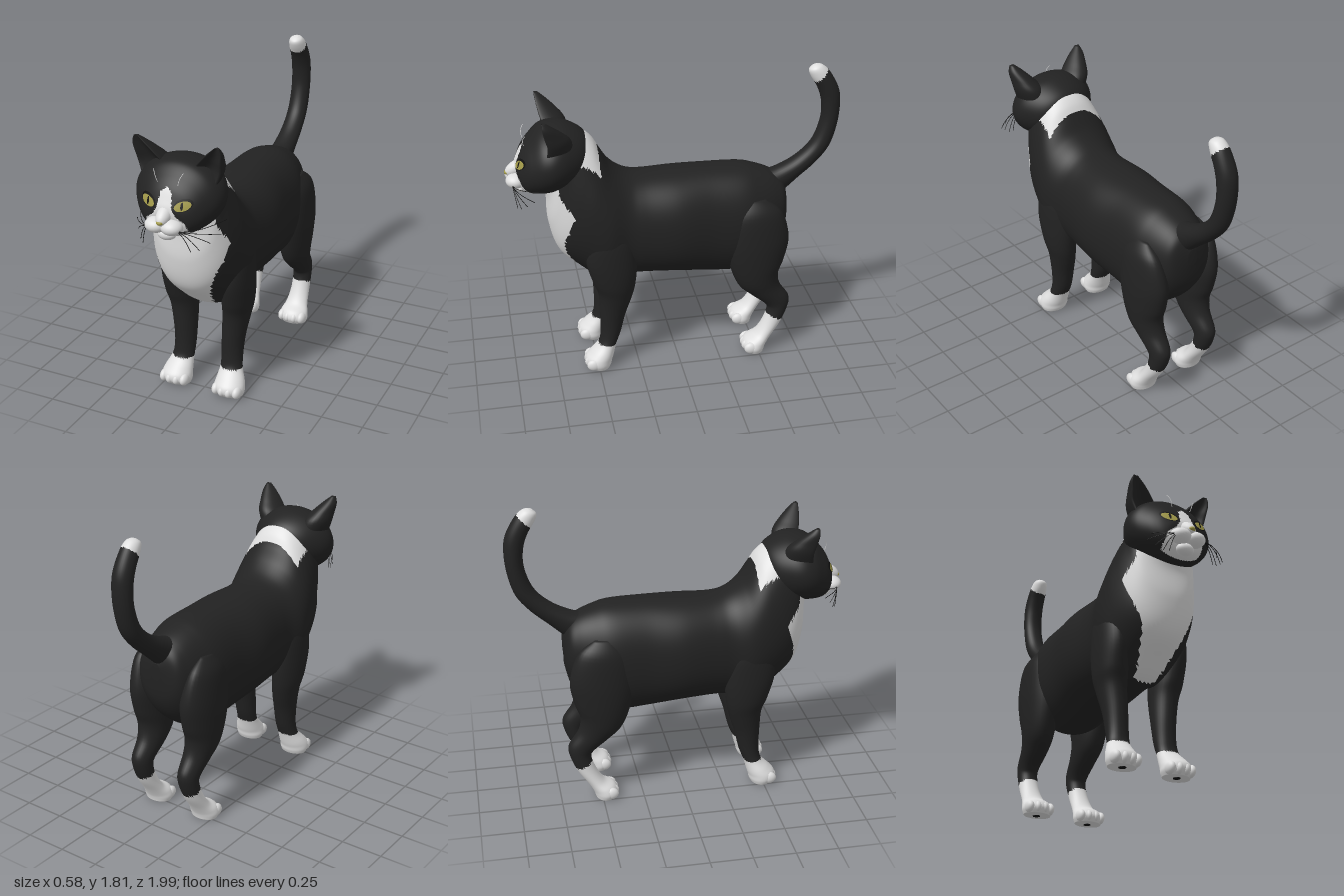
import * as THREE from 'three';

const mat = (name, color, extra = {}) => new THREE.MeshStandardMaterial({ name, color, ...extra });

// Piecewise-linear lookup in [[key, value], ...] with rising keys
function lookup(table, k) {
  if (k <= table[0][0]) return table[0][1];
  for (let i = 1; i < table.length; i++) {
    const [k0, v0] = table[i - 1], [k1, v1] = table[i];
    if (k <= k1) return v0 + (v1 - v0) * (k - k0) / (k1 - k0);
  }
  return table[table.length - 1][1];
}

const spline = (a, b, c, d, t) =>
  0.5 * (2 * b + (c - a) * t + (2 * a - 5 * b + 4 * c - d) * t * t + (3 * b - a - 3 * c + d) * t * t * t);

// Smooth closed skin over oval rings [zTop, yTop, zBottom, yBottom, halfWidth, xCentre].
// isWhite(x, y, z) sends a triangle to the second material; dent hollows the bottom side.
function loft(rings, { steps = 6, sides = 32, power = 1, side = 1, dent = 0, isWhite = () => false } = {}) {
  const pos = [], groups = [[], []], dense = [];
  const at = i => rings[Math.min(rings.length - 1, Math.max(0, i))];
  for (let i = 0; i < rings.length - 1; i++)
    for (let k = 0; k < steps + (i === rings.length - 2 ? 1 : 0); k++)
      dense.push([0, 1, 2, 3, 4, 5].map(n =>
        spline(at(i - 1)[n] ?? 0, at(i)[n] ?? 0, at(i + 1)[n] ?? 0, at(i + 2)[n] ?? 0, k / steps)));
  const curve = v => Math.sign(v) * Math.abs(v) ** power;
  for (const [zt, yt, zb, yb, w, x] of dense)
    for (let j = 0; j < sides; j++) {
      const a = j / sides * Math.PI * 2;
      let v = curve(Math.sin(a));
      if (v < 0) v += dent * v * v;
      pos.push(x * side + w * curve(Math.cos(a)), (yt + yb) / 2 + (yt - yb) / 2 * v, (zt + zb) / 2 + (zt - zb) / 2 * v);
    }
  const last = dense.length - 1, caps = pos.length / 3;
  for (const r of [dense[0], dense[last]]) pos.push(r[5] * side, (r[1] + r[3]) / 2, (r[0] + r[2]) / 2);
  const tri = (...t) => {
    const mid = n => (pos[t[0] * 3 + n] + pos[t[1] * 3 + n] + pos[t[2] * 3 + n]) / 3;
    groups[isWhite(mid(0), mid(1), mid(2)) ? 1 : 0].push(...t);
  };
  for (let j = 0; j < sides; j++) {
    const j2 = (j + 1) % sides;
    for (let i = 0; i < last; i++) {
      const a = i * sides + j, b = i * sides + j2;
      tri(a, b, a + sides);
      tri(b, b + sides, a + sides);
    }
    tri(caps, j2, j);
    tri(caps + 1, last * sides + j, last * sides + j2);
  }
  const g = new THREE.BufferGeometry();
  g.setAttribute('position', new THREE.Float32BufferAttribute(pos, 3));
  g.setIndex([...groups[0], ...groups[1]]);
  g.addGroup(0, groups[0].length, 0);
  g.addGroup(groups[0].length, groups[1].length, 1);
  g.computeVertexNormals();
  return g;
}

export function createModel() {
  const model = new THREE.Group(), cat = new THREE.Group();
  model.name = 'model';
  cat.name = 'cat';
  cat.position.x = -0.01;
  model.add(cat);

  const black = mat('black fur', 0x222222);
  const white = mat('white fur', 0xdedede);
  const yellow = mat('yellow eye', 0xa09848);
  const dark = mat('dark pupil and whisker', 0x111111);
  const fur = [black, white];

  const add = (name, geometry, material) => {
    const m = new THREE.Mesh(geometry, material);
    m.name = name;
    cat.add(m);
    return m;
  };
  const ball = (name, material, p, r, tilt = 0) => {
    const m = add(name, new THREE.SphereGeometry(1, 24, 16), material);
    m.position.set(...p);
    m.scale.set(...r);
    m.rotation.x = tilt;
  };

  // Body and neck, with the white bib
  const bib = [[0.55, 0.065], [0.665, 0.1], [0.81, 0.15], [0.95, 0.215], [1.06, 0.24], [1.19, 0.19]];
  add('body', loft([
    [-0.69, 1.02, -0.69, 0.92, 0.03], [-0.66, 1.1, -0.67, 0.78, 0.13], [-0.6, 1.15, -0.6, 0.66, 0.18],
    [-0.5, 1.19, -0.48, 0.56, 0.225], [-0.4, 1.212, -0.36, 0.525, 0.25], [-0.2, 1.218, -0.2, 0.535, 0.255],
    [0, 1.215, 0, 0.56, 0.275], [0.2, 1.212, 0.2, 0.57, 0.258], [0.3, 1.235, 0.3, 0.565, 0.255],
    [0.38, 1.295, 0.44, 0.55, 0.278], [0.435, 1.38, 0.58, 0.65, 0.268], [0.475, 1.45, 0.7, 0.77, 0.243],
    [0.53, 1.5, 0.752, 0.95, 0.213], [0.59, 1.52, 0.757, 1.12, 0.19], [0.65, 1.47, 0.78, 1.2, 0.15],
  ], { steps: 9, sides: 80, power: 0.92, isWhite: (x, y, z) => z > 0.45 && y > 0.55 && Math.abs(x) < lookup(bib, y) }), fur);

  // Tail, from white tip to root
  add('tail', loft([
    [-0.825, 1.8, -0.85, 1.808, 0.015], [-0.803, 1.775, -0.885, 1.8, 0.04], [-0.815, 1.735, -0.93, 1.757, 0.052],
    [-0.86, 1.66, -0.984, 1.66, 0.058], [-0.888, 1.57, -1, 1.57, 0.06], [-0.888, 1.455, -0.99, 1.435, 0.06],
    [-0.838, 1.32, -0.95, 1.295, 0.061], [-0.74, 1.225, -0.87, 1.19, 0.063], [-0.62, 1.165, -0.77, 1.1, 0.068],
    [-0.53, 1.15, -0.66, 1.0, 0.075],
  ], { steps: 8, isWhite: (x, y, z) => y + z > 0.86 }), fur);

  // Head with white blaze and lower face
  const blaze = [[1.15, 0.1], [1.2, 0.125], [1.265, 0.115], [1.3, 0.068], [1.34, 0.045], [1.42, 0.032], [1.45, 0]];
  const head = add('head', loft([
    [0.47, 1.42, 0.5, 1.3, 0.06], [0.53, 1.505, 0.56, 1.22, 0.17], [0.62, 1.555, 0.64, 1.18, 0.235],
    [0.7, 1.565, 0.71, 1.165, 0.26], [0.775, 1.548, 0.77, 1.155, 0.248], [0.835, 1.495, 0.84, 1.155, 0.205],
    [0.88, 1.44, 0.875, 1.165, 0.165], [0.91, 1.38, 0.895, 1.18, 0.125], [0.925, 1.345, 0.905, 1.2, 0.085],
    [0.932, 1.31, 0.91, 1.24, 0.02],
  ], { steps: 9, sides: 80, isWhite: (x, y, z) => z > 0.83 && Math.abs(x) < lookup(blaze, y) }), fur);

  // Muzzle
  ball('noseBridge', white, [0, 1.305, 0.905], [0.043, 0.045, 0.085], 0.45);
  ball('chin', white, [0, 1.185, 0.895], [0.055, 0.035, 0.042]);
  ball('nose', yellow, [0, 1.277, 0.972], [0.02, 0.013, 0.017]);

  // Thin plate laid over the face, seen from the front
  const faceZ = (x, y) => {
    const hit = new THREE.Raycaster(new THREE.Vector3(x, y, 2), new THREE.Vector3(0, 0, -1)).intersectObject(head)[0];
    return hit ? hit.point.z : 0.88;
  };
  const facePlate = (name, material, cx, cy, rx, ry, slant, lift) => {
    const g = new THREE.RingGeometry(0.001, 1, 28, 5), p = g.attributes.position;
    for (let i = 0; i < p.count; i++) {
      const lx = p.getX(i) * rx, x = cx + lx, y = cy + p.getY(i) * ry + lx * slant;
      p.setXYZ(i, x, y, faceZ(x, y) + lift);
    }
    g.computeVertexNormals();
    add(name, g, material);
  };

  const whisker = (name, material, a, b, c) => add(name, new THREE.TubeGeometry(new THREE.QuadraticBezierCurve3(
    new THREE.Vector3(...a), new THREE.Vector3(...b), new THREE.Vector3(...c)), 8, 0.0018, 5), material);

  for (const side of [1, -1]) {
    const label = side > 0 ? 'left' : 'right';

    // Face details
    ball(label + 'Muzzle', white, [side * 0.047, 1.242, 0.925], [0.062, 0.043, 0.06]);
    facePlate(label + 'EyeRim', dark, side * 0.102, 1.366, 0.05, 0.034, side * 0.2, 0.003);
    facePlate(label + 'Eye', yellow, side * 0.102, 1.362, 0.043, 0.026, side * 0.2, 0.006);
    facePlate(label + 'Pupil', dark, side * 0.1, 1.364, 0.007, 0.021, 0, 0.009);
    whisker(label + 'Brow', white, [side * 0.06, 1.46, 0.87], [side * 0.07, 1.5, 0.885], [side * 0.088, 1.53, 0.86]);

    // Whiskers, longer on the left
    const reach = side > 0 ? 1 : 0.6;
    for (const [dx, y, z] of [[0.22, 1.277, 0.78], [0.215, 1.215, 0.84], [0.17, 1.17, 0.88], [0.12, 1.13, 0.91], [0.08, 1.12, 0.93]])
      whisker(label + 'Whisker', dark, [side * 0.08, 1.235, 0.95], [side * (0.08 + dx * reach * 0.5), 1.235, 0.95],
        [side * (0.08 + dx * reach), y, z]);

    // Ear, hollow at the front
    add(label + 'Ear', loft([
      [0.6, 1.44, 0.86, 1.42, 0.08, 0.14], [0.61, 1.52, 0.838, 1.5, 0.085, 0.165], [0.655, 1.575, 0.835, 1.57, 0.064, 0.195],
      [0.71, 1.625, 0.816, 1.62, 0.042, 0.222], [0.755, 1.662, 0.793, 1.662, 0.013, 0.238],
    ], { side, dent: 1.1 }), fur);

    // Front leg and paw
    add(label + 'FrontLeg', loft([
      [0.46, 1, 0.34, 1, 0.02, 0.2], [0.53, 0.9, 0.28, 0.9, 0.06, 0.208], [0.555, 0.75, 0.255, 0.72, 0.085, 0.195],
      [0.52, 0.6, 0.265, 0.57, 0.09, 0.183], [0.487, 0.5, 0.29, 0.46, 0.08, 0.17], [0.48, 0.35, 0.325, 0.35, 0.07, 0.158],
      [0.48, 0.23, 0.355, 0.23, 0.065, 0.155], [0.492, 0.16, 0.385, 0.15, 0.068, 0.16], [0.54, 0.108, 0.405, 0.08, 0.085, 0.17],
      [0.575, 0.07, 0.415, 0.05, 0.093, 0.173], [0.578, 0.035, 0.42, 0.025, 0.094, 0.173], [0.555, 0.002, 0.43, 0.002, 0.083, 0.173],
    ], { side, isWhite: (x, y) => y < 0.155 }), fur);

    // Hind leg and paw
    add(label + 'HindLeg', loft([
      [-0.4, 1.05, -0.52, 1.05, 0.02, 0.19], [-0.32, 0.95, -0.62, 0.97, 0.07, 0.193], [-0.29, 0.78, -0.672, 0.8, 0.098, 0.182],
      [-0.315, 0.62, -0.65, 0.65, 0.098, 0.178], [-0.37, 0.48, -0.618, 0.55, 0.088, 0.175], [-0.45, 0.4, -0.632, 0.46, 0.075, 0.17],
      [-0.54, 0.325, -0.692, 0.365, 0.062, 0.17], [-0.56, 0.28, -0.687, 0.29, 0.059, 0.17], [-0.53, 0.19, -0.645, 0.19, 0.06, 0.172],
      [-0.485, 0.118, -0.585, 0.1, 0.07, 0.172], [-0.425, 0.082, -0.556, 0.05, 0.088, 0.173], [-0.403, 0.04, -0.546, 0.025, 0.094, 0.173],
      [-0.42, 0.002, -0.54, 0.002, 0.083, 0.173],
    ], { side, isWhite: (x, y, z) => y < 0.235 + (z + 0.6) * 0.45 }), fur);

    // Toes and sole pads
    for (const z of [0.545, -0.44]) {
      for (let k = -1.5; k <= 1.5; k++)
        ball(label + 'Toe', white, [side * 0.173 + k * 0.044, 0.041, z - Math.abs(k) * 0.008], [0.027, 0.038, 0.045]);
      const pad = add(label + 'Pad', new THREE.CylinderGeometry(0.022, 0.022, 0.004, 16), dark);
      pad.position.set(side * 0.173, 0.002, z - 0.045);
    }
  }
  return model;
}
